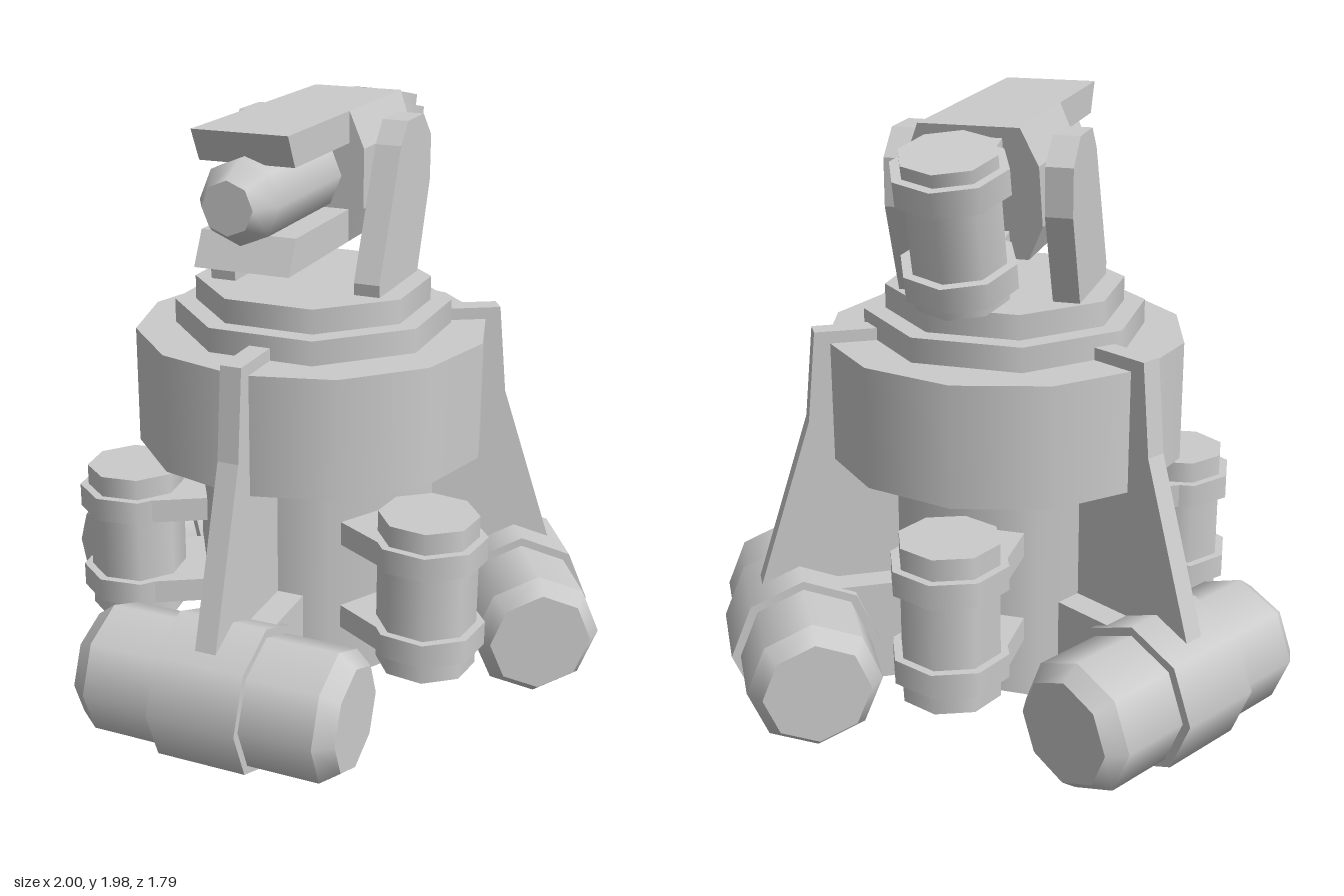
import * as THREE from 'three';

const mat = new THREE.MeshStandardMaterial({ color: 0xcccccc });

function add(parent, name, geometry, x = 0, y = 0, z = 0) {
  const mesh = new THREE.Mesh(geometry, mat);
  mesh.name = name;
  mesh.position.set(x, y, z);
  parent.add(mesh);
  return mesh;
}

function group(parent, name, x = 0, y = 0, z = 0) {
  const g = new THREE.Group();
  g.name = name;
  g.position.set(x, y, z);
  parent.add(g);
  return g;
}

// Upright prism between two heights, turned about its axis
function prism(rTop, rBottom, y0, y1, sides, turn = 0) {
  return new THREE.CylinderGeometry(rTop, rBottom, y1 - y0, sides)
    .rotateY(turn).translate(0, (y0 + y1) / 2, 0);
}

// Extrusion of [x, y] points, centred on its depth
function slab(points, depth) {
  const shape = new THREE.Shape(points.map(([x, y]) => new THREE.Vector2(x, y)));
  return new THREE.ExtrudeGeometry(shape, { depth, bevelEnabled: false }).translate(0, 0, -depth / 2);
}

// Profile given as [z, y], extruded across x
const sideSlab = (points, width) => slab(points, width).rotateY(-Math.PI / 2);

// Horizontal drum with chamfered ends and a raised middle band
function drum(parent) {
  const g = group(parent, 'footDrum', 0, 0.247, 0.715);
  const along = (geo) => geo.rotateZ(Math.PI / 2);
  add(g, 'drumBody', along(prism(0.216, 0.216, -0.39, 0.39, 8)));
  add(g, 'drumBand', along(prism(0.245, 0.245, -0.15, 0.15, 8)));
  add(g, 'drumEnd', along(prism(0.172, 0.216, 0.39, 0.448, 8)));
  add(g, 'drumEnd', along(prism(0.216, 0.172, -0.448, -0.39, 8)));
}

// Canister held by two bands whose brackets reach toward local -z
function canister(parent, name, radius, bandRadius, height, bandOffset, reach, bracketWidth) {
  const g = group(parent, name);
  add(g, 'canisterBody', prism(radius, radius, -height / 2, height / 2, 8));
  for (const s of [-1, 1]) {
    const y = s * bandOffset;
    add(g, 'canisterBand', prism(bandRadius, bandRadius, y - 0.04, y + 0.04, 8));
    add(g, 'canisterBracket', new THREE.BoxGeometry(bracketWidth, 0.08, reach), 0, y, -reach / 2);
  }
  return g;
}

export function createModel() {
  const model = new THREE.Group();
  model.name = 'turret';

  // Base, centred on its own axis
  const base = group(model, 'base', 0, 0, -0.06);
  add(base, 'column', prism(0.435, 0.435, 0.13, 0.9, 6, Math.PI / 6));
  add(base, 'mainRing', prism(0.59, 0.59, 0.865, 1.26, 12));
  add(base, 'lowerStep', prism(0.46, 0.46, 1.26, 1.34, 8, Math.PI / 8));
  add(base, 'upperStep', prism(0.39, 0.39, 1.34, 1.42, 8, Math.PI / 8));

  const fin = [[0.3, 0.25], [0.75, 0.25], [0.84, 0.44], [0.66, 1.0], [0.63, 1.3], [0.3, 1.3]];
  for (let i = 0; i < 3; i++) {
    // Leg: support arm, fin and foot drum
    const leg = group(base, 'leg');
    leg.rotation.y = i * Math.PI * 2 / 3;
    add(leg, 'legArm', new THREE.BoxGeometry(0.25, 0.35, 0.7), 0, 0.265, 0.35);
    add(leg, 'legFin', sideSlab(fin, 0.07));
    drum(leg);

    // Canister between two legs
    const bay = group(base, 'canisterBay');
    bay.rotation.y = (i * 2 + 1) * Math.PI / 3;
    canister(bay, 'sideCanister', 0.162, 0.19, 0.52, 0.15, 0.235, 0.34).position.set(0, 0.52, 0.61);
  }

  // Yoke plates carrying the gun
  const yoke = [[0.1, 1.42], [0.105, 1.46], [-0.07, 1.87], [-0.13, 1.94],
    [-0.28, 1.94], [-0.36, 1.86], [-0.36, 1.71], [-0.255, 1.42]];
  for (const s of [-1, 1]) add(model, 'yokePlate', sideSlab(yoke, 0.086), s * 0.252);

  // Gun housing: chamfered section with a sloping back
  const gun = group(model, 'gun');
  const housing = slab([[-0.155, 1.57], [0.155, 1.57], [0.205, 1.68], [0.205, 1.87],
    [0.155, 1.985], [-0.155, 1.985], [-0.205, 1.87], [-0.205, 1.68]], 1);
  const p = housing.attributes.position;
  for (let i = 0; i < p.count; i++) {
    p.setZ(i, p.getZ(i) > 0 ? 0.02 : -0.34 - (p.getY(i) - 1.57) * 0.25);
  }
  housing.computeVertexNormals();
  add(gun, 'gunHousing', housing);

  // Jaws above and below the barrel
  add(gun, 'upperJaw', sideSlab([[0, 1.885], [0.44, 1.885], [0.49, 1.985], [0, 1.985]], 0.31));
  add(gun, 'lowerJaw', sideSlab([[0, 1.57], [0.49, 1.57], [0.435, 1.675], [0, 1.675]], 0.31));

  // Barrel with a tapered muzzle
  const barrel = group(gun, 'barrel', 0, 1.78, 0);
  barrel.rotation.x = Math.PI / 2;
  add(barrel, 'barrelTube', prism(0.13, 0.13, 0, 0.49, 8));
  add(barrel, 'muzzle', prism(0.082, 0.13, 0.49, 0.575, 8));

  // Tilted canister behind the gun, brackets facing forward
  const rear = group(gun, 'rearMount', 0, 1.72, -0.575);
  rear.rotation.x = -0.25;
  canister(rear, 'rearCanister', 0.148, 0.178, 0.46, 0.15, 0.2, 0.2).rotation.y = Math.PI;

  return model;
}
